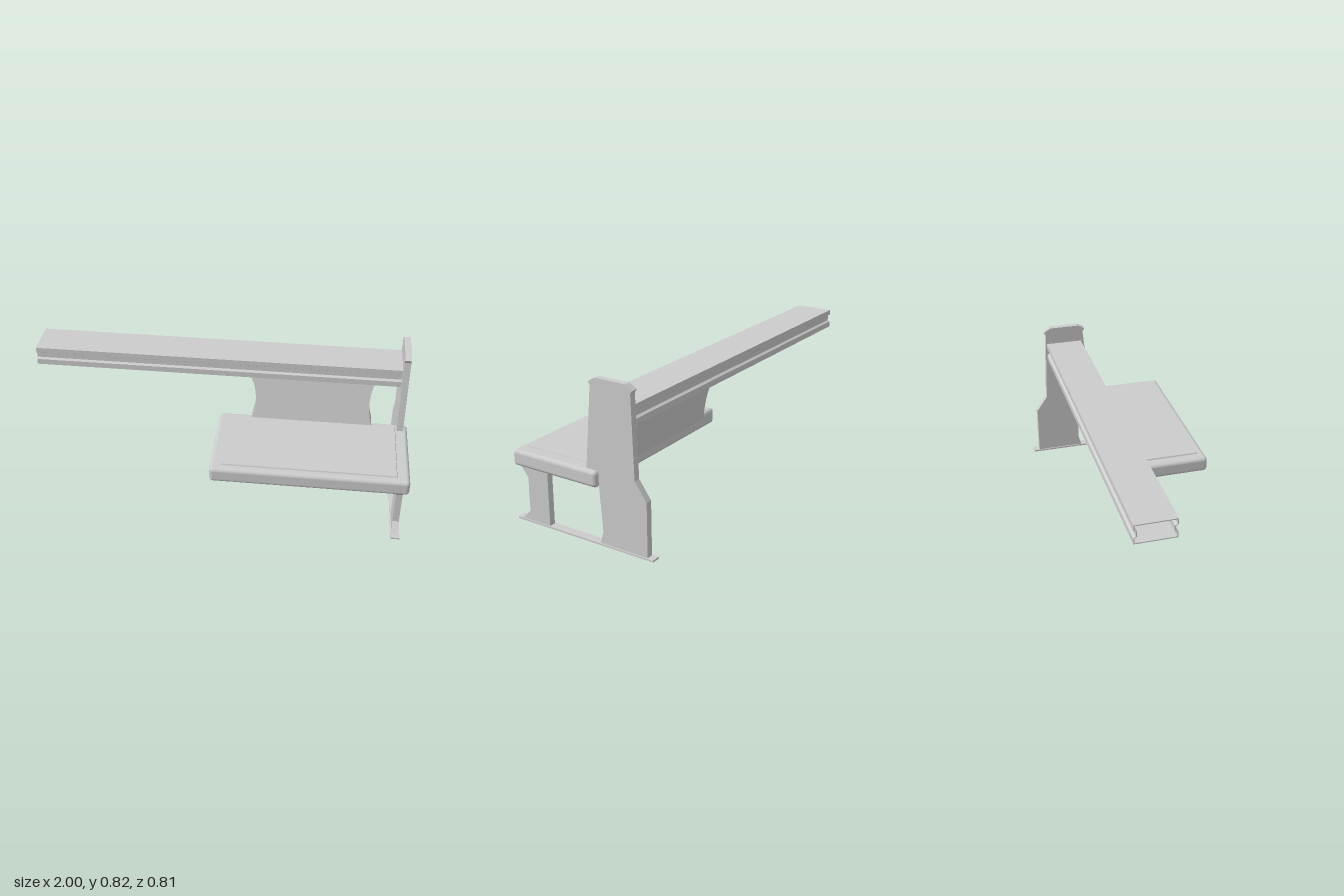
import * as THREE from 'three';
import { toCreasedNormals } from 'three/addons/utils/BufferGeometryUtils.js';
import { RoundedBoxGeometry } from 'three/addons/geometries/RoundedBoxGeometry.js';

const grey = new THREE.MeshStandardMaterial({ color: 0xcccccc, side: THREE.DoubleSide });

function addMesh(group, name, geometry, x = 0, y = 0, z = 0) {
  const mesh = new THREE.Mesh(geometry, grey);
  mesh.name = name;
  mesh.position.set(x, y, z);
  group.add(mesh);
  return mesh;
}

// Side outline given as [z, y] pairs, extruded along x from x0 to x1
const outline = (pts) => pts.map(([z, y]) => new THREE.Vector2(-z, y));
function sideExtrude(pts, x0, x1, hole) {
  const shape = new THREE.Shape(outline(pts));
  if (hole) shape.holes.push(new THREE.Path(outline(hole)));
  const geo = new THREE.ExtrudeGeometry(shape, { depth: x1 - x0, bevelEnabled: false });
  return geo.rotateY(Math.PI / 2).translate(x0, 0, 0);
}

// Beam section: half profile [offset from centre, y], mirrored about the centre
function beamSection(inset) {
  const w = 0.1025 - inset;
  const half = [
    [w, 0.72 - inset], [w, 0.692], [w - 0.012, 0.684],
    [w - 0.012, 0.658], [w, 0.65], [w, 0.62 + inset],
  ];
  const mirrored = half.map(([d, y]) => [-d, y]).reverse();
  return [...half, ...mirrored].map(([d, y]) => [d - 0.1875, y]);
}

export function createModel() {
  const model = new THREE.Group();
  model.name = 'benchSection';

  // Hollow top beam with grooved sides, open at the free end
  addMesh(model, 'topBeam', sideExtrude(beamSection(0), -1, 0.945, beamSection(0.005)));

  // Seat slab with a shallow raised pad
  addMesh(model, 'seat', new RoundedBoxGeometry(1.01, 0.083, 0.505, 4, 0.02), 0.495, 0.3315, 0.15);
  const pad = new THREE.BoxGeometry(0.89, 0.01, 0.43);
  const p = pad.attributes.position;
  for (let i = 0; i < p.count; i++) {
    if (p.getY(i) > 0) {
      p.setX(i, p.getX(i) * 0.99);
      p.setZ(i, p.getZ(i) * 0.98);
    }
  }
  pad.computeVertexNormals();
  addMesh(model, 'seatPad', pad, 0.492, 0.375, 0.15);

  // Waisted backrest, sheared so that it leans back
  const back = new THREE.Shape();
  back.moveTo(0.165, 0.375);
  back.lineTo(0.81, 0.375);
  back.bezierCurveTo(0.782, 0.45, 0.782, 0.55, 0.815, 0.625);
  back.lineTo(0.14, 0.625);
  back.bezierCurveTo(0.195, 0.56, 0.195, 0.45, 0.165, 0.375);
  const backGeo = new THREE.ExtrudeGeometry(back, { depth: 0.09, bevelEnabled: false, curveSegments: 12 });
  const b = backGeo.attributes.position;
  for (let i = 0; i < b.count; i++) {
    b.setZ(i, b.getZ(i) - 0.15 - (b.getY(i) - 0.375) * 0.22);
  }
  addMesh(model, 'backrest', toCreasedNormals(backGeo, 0.5));

  // Tall end plate, from the floor up past the beam
  addMesh(model, 'endPlate', sideExtrude([
    [-0.035, 0.373], [-0.072, 0.777], [-0.062, 0.795], [-0.1, 0.817],
    [-0.267, 0.817], [-0.306, 0.793], [-0.294, 0.777], [-0.307, 0.372],
    [-0.37, 0.283], [-0.37, 0.008], [-0.102, 0.008], [-0.12, 0.07],
    [-0.104, 0.3], [-0.102, 0.373],
  ], 0.943, 0.977));

  // Front leg and the thin foot rail joining both supports
  addMesh(model, 'frontLeg', sideExtrude([
    [0.378, 0.295], [0.33, 0.235], [0.33, 0.058],
    [0.378, 0.008], [0.207, 0.008], [0.207, 0.295],
  ], 0.943, 0.977));
  addMesh(model, 'footRail', new THREE.BoxGeometry(0.046, 0.009, 0.808), 0.96, 0.0045, 0);

  return model;
}
